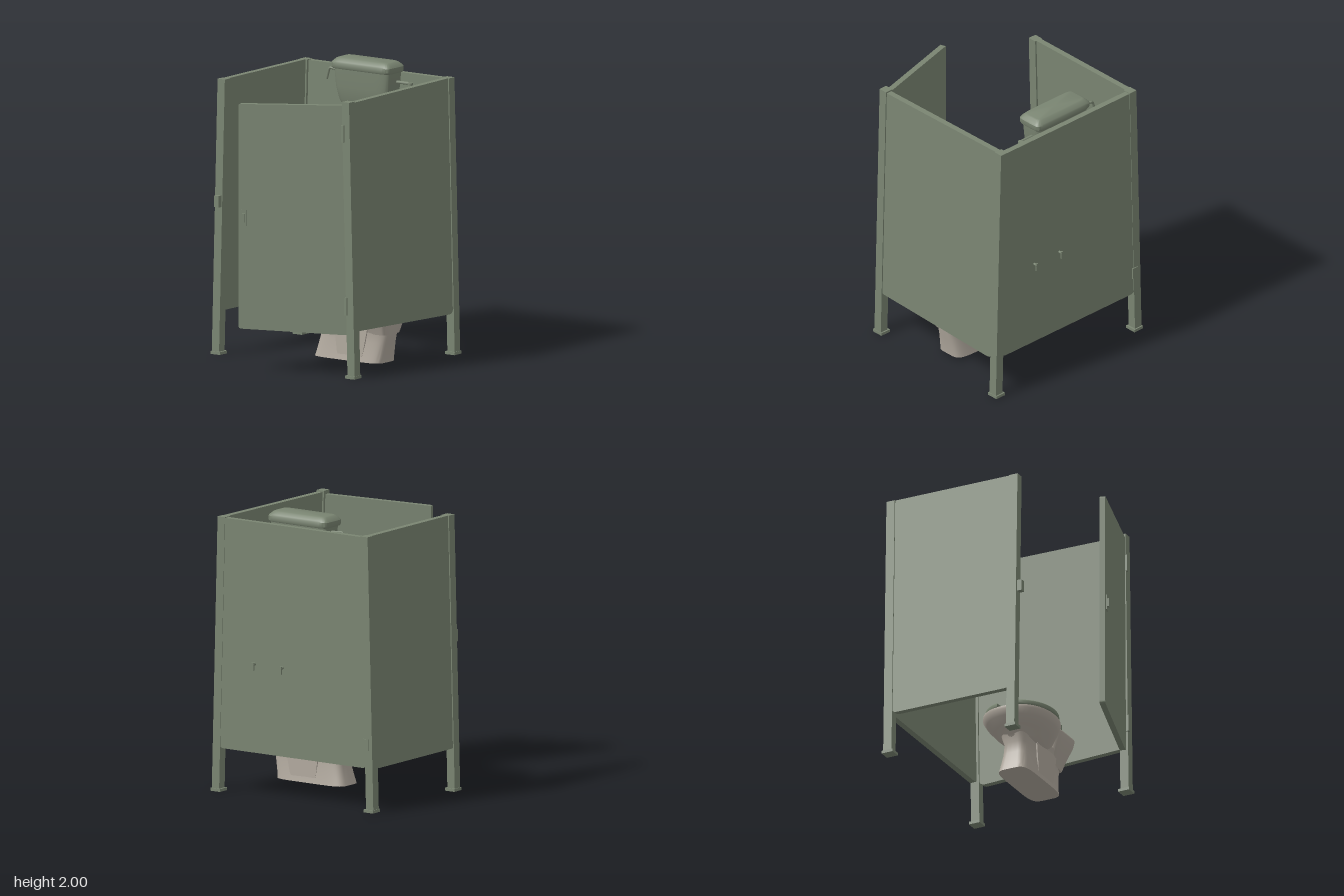
import * as THREE from 'three';
import { toCreasedNormals } from 'three/addons/utils/BufferGeometryUtils.js';

const TOP = 1.92, LEAN = 0.0257;

export function createModel() {
  const green = new THREE.MeshStandardMaterial({ color: 0x7a8572 });
  green.name = 'sage paint';
  const china = new THREE.MeshStandardMaterial({ color: 0xb2aa9f });
  china.name = 'warm grey ceramic';
  const root = new THREE.Group();
  root.name = 'toiletStall';

  const add = (name, geo, mat = green, parent = root) => {
    const m = new THREE.Mesh(geo, mat);
    m.name = name;
    parent.add(m);
    return m;
  };
  const box = (name, w, h, d, x, y, z, mat, parent) => {
    const m = add(name, new THREE.BoxGeometry(w, h, d), mat, parent);
    m.position.set(x, y, z);
    return m;
  };
  const rod = (name, r, pts, mat) => {
    const curve = new THREE.CatmullRomCurve3(pts.map(p => new THREE.Vector3(...p)), false, 'catmullrom', 0.1);
    return add(name, new THREE.TubeGeometry(curve, 24, r, 10), mat);
  };
  const drum = (name, r1, r2, h, x, y, z, mat) => {
    const m = add(name, new THREE.CylinderGeometry(r1, r2, h, 24), mat);
    m.position.set(x, y, z);
    return m;
  };

  // Leans a geometry outwards towards the floor
  const lean = (geo, side) => {
    const p = geo.attributes.position;
    for (let i = 0; i < p.count; i++) p.setX(i, p.getX(i) + side * LEAN * (TOP - p.getY(i)));
    geo.computeVertexNormals();
    return geo;
  };

  // Flat panel from corner points, each with its own corner radius
  const panel = (corners, depth) => {
    const s = new THREE.Shape();
    const n = corners.length;
    corners.forEach(([x, y, r], i) => {
      const c = new THREE.Vector2(x, y);
      const toward = q => c.clone().add(new THREE.Vector2(q[0], q[1]).sub(c).setLength(r));
      const a = toward(corners[(i + n - 1) % n]), b = toward(corners[(i + 1) % n]);
      if (i) s.lineTo(a.x, a.y); else s.moveTo(a.x, a.y);
      s.quadraticCurveTo(x, y, b.x, b.y);
    });
    s.closePath();
    return new THREE.ExtrudeGeometry(s, { depth, bevelEnabled: false, curveSegments: 6 });
  };

  // Skin over horizontal rings: [y, xMin, xMax, halfDepth, squareness]
  const loft = (rings, cz, crease = 0.6, seg = 48) => {
    const pos = [], idx = [];
    const last = rings.length - 1;
    for (const [y, x0, x1, hz, e] of rings) {
      for (let j = 0; j < seg; j++) {
        const t = (j / seg) * Math.PI * 2, c = Math.cos(t), s = Math.sin(t);
        const f = v => Math.sign(v) * Math.pow(Math.abs(v), 2 / e);
        pos.push((x0 + x1) / 2 + f(c) * (x1 - x0) / 2, y, cz + f(s) * hz);
      }
    }
    for (const k of [0, last]) pos.push((rings[k][1] + rings[k][2]) / 2, rings[k][0], cz);
    const cap = (last + 1) * seg;
    for (let j = 0; j < seg; j++) {
      const k = (j + 1) % seg;
      for (let i = 0; i < last; i++) {
        const a = i * seg + j, b = i * seg + k;
        idx.push(a, a + seg, b, b, a + seg, b + seg);
      }
      idx.push(cap, j, k, cap + 1, last * seg + k, last * seg + j);
    }
    const g = new THREE.BufferGeometry();
    g.setAttribute('position', new THREE.Float32BufferAttribute(pos, 3));
    g.setIndex(idx);
    return toCreasedNormals(g, crease);
  };

  // Leaning posts with floor plates
  for (const [side, z] of [[-1, -0.677], [1, -0.677], [-1, 0.27], [1, 0.475]]) {
    const g = new THREE.BoxGeometry(0.062, TOP - 0.01, 0.064);
    g.translate(side * 0.604, (TOP + 0.01) / 2, z);
    add('post', lean(g, side));
    box('postFoot', 0.08, 0.02, 0.084, side * 0.648, 0.01, z);
  }

  // Side walls, drawn in z and y, then turned
  const sideWall = (name, side, corners) => {
    const g = panel(corners, 0.042).rotateY(-Math.PI / 2);
    g.translate(side * 0.606 + 0.021, 0, 0);
    add(name, lean(g, side));
  };
  sideWall('rightWall', 1, [[-0.65, 0.285, 0.05], [0.46, 0.325, 0.03], [0.46, 1.91, 0.01], [-0.65, TOP, 0.01]]);
  sideWall('leftWall', -1, [[-0.65, 0.3, 0.04], [0.26, 0.3, 0.04], [0.26, TOP, 0.01], [-0.65, TOP, 0.01]]);

  // Back wall
  const back = panel([[-0.625, 0.305, 0.04], [0.625, 0.305, 0.04], [0.59, 1.915, 0.01], [-0.59, 1.915, 0.01]], 0.042);
  add('backWall', back.translate(0, 0, -0.705));
  box('wallBracket', 0.05, 0.08, 0.01, -0.62, 0.47, -0.711);

  // Door, swung open about the front right post
  const door = new THREE.Group();
  door.name = 'door';
  door.position.set(0.59, 0, 0.477);
  door.rotation.y = Math.atan2(0.225, 0.73);
  root.add(door);
  const leaf = panel([[-0.775, 0.297, 0.02], [0.015, 0.297, 0.02], [0, 1.895, 0.01], [-0.775, 1.86, 0.01]], 0.04);
  add('doorLeaf', leaf.translate(0, 0, -0.02), green, door);
  box('doorLatchPlate', 0.04, 0.11, 0.008, -0.735, 1.07, 0.023, green, door);
  box('doorLatchKnob', 0.02, 0.06, 0.015, -0.735, 1.07, 0.032, green, door);
  for (const [x, y] of [[0.587, 1.7], [0.61, 0.5]]) box('hinge', 0.022, 0.12, 0.02, x, y, 0.508);
  box('latchKeeper', 0.04, 0.08, 0.035, -0.622, 1.07, 0.318);

  // High cistern and chamfered lid
  add('cistern', loft([
    [1.67, -0.16, 0.16, 0.055, 5], [1.68, -0.195, 0.195, 0.07, 5], [1.71, -0.208, 0.208, 0.08, 5],
    [1.8, -0.228, 0.228, 0.09, 6], [1.93, -0.24, 0.24, 0.095, 6]], -0.57));
  add('cisternLid', loft([
    [1.925, -0.245, 0.245, 0.1, 8], [1.935, -0.25, 0.25, 0.106, 8], [1.965, -0.25, 0.25, 0.106, 8],
    [1.975, -0.243, 0.243, 0.1, 8], [1.995, -0.222, 0.222, 0.08, 8], [2, -0.21, 0.21, 0.07, 8]], -0.568));
  rod('flushLever', 0.009, [[-0.22, 1.89, -0.58], [-0.33, 1.9, -0.585], [-0.342, 1.885, -0.585], [-0.362, 1.82, -0.588]]);
  rod('supplyPipe', 0.011, [[0.21, 1.86, -0.59], [0.335, 1.86, -0.592], [0.345, 1.85, -0.593], [0.345, 1.42, -0.593]]);
  drum('supplyNut', 0.018, 0.018, 0.03, 0.345, 1.85, -0.593);
  drum('flushPipe', 0.022, 0.022, 0.5, 0, 1.43, -0.57);
  drum('flushCollar', 0.05, 0.03, 0.035, 0, 1.655, -0.57);
  for (const x of [-0.1, 0.1]) drum('cisternBolt', 0.015, 0.015, 0.05, x, 1.65, -0.57);

  // Paper roll held by two arms bolted through the back wall
  drum('paperRoll', 0.085, 0.085, 0.18, 0.203, 0.92, -0.555, china).rotation.z = Math.PI / 2;
  drum('rollSpindle', 0.012, 0.012, 0.25, 0.203, 0.92, -0.565).rotation.z = Math.PI / 2;
  for (const x of [0.085, 0.32]) {
    rod('rollArm', 0.009, [[x, 0.925, -0.735], [x, 0.925, -0.65], [x, 0.92, -0.56]]);
    box('armBolt', 0.015, 0.055, 0.012, x, 0.91, -0.73);
  }

  // Ceramic pedestal, rear shelf and bowl with a hollow basin
  const CZ = -0.072;
  add('pedestal', loft([
    [0.02, -0.03, 0.54, 0.118, 5], [0.06, -0.018, 0.545, 0.112, 5], [0.16, 0.008, 0.565, 0.102, 4.5],
    [0.24, 0.012, 0.585, 0.1, 4], [0.32, -0.02, 0.598, 0.12, 4]], CZ, 0.9), china);
  add('rearShelf', loft([
    [0.22, 0.42, 0.578, 0.095, 8], [0.3, 0.4, 0.595, 0.125, 8], [0.39, 0.37, 0.61, 0.17, 9],
    [0.44, 0.36, 0.612, 0.182, 10], [0.45, 0.365, 0.608, 0.178, 10]], CZ), china);
  add('bowl', loft([
    [0.25, 0.01, 0.4, 0.09, 2.4], [0.29, -0.01, 0.42, 0.13, 2.3], [0.34, -0.07, 0.43, 0.185, 2.2],
    [0.39, -0.115, 0.435, 0.228, 2.2], [0.43, -0.138, 0.44, 0.252, 2.2], [0.45, -0.136, 0.438, 0.25, 2.2],
    [0.455, -0.125, 0.43, 0.24, 2.2], [0.45, -0.035, 0.31, 0.145, 2.1], [0.4, -0.02, 0.3, 0.135, 2.1],
    [0.33, 0.05, 0.27, 0.085, 2], [0.3, 0.1, 0.23, 0.05, 2]], CZ, 0.9), china);

  // Shallow side mouldings on the pedestal
  const mould = [[0.19, 0.05, 0.03], [0.4, 0.05, 0.03], [0.45, 0.28, 0.02], [0.16, 0.28, 0.02]];
  for (const s of [-1, 1]) add('pedestalMoulding', panel(mould, 0.01).translate(0, 0, CZ - 0.005 + s * 0.107), china);

  // Open-front seat
  const seat = new THREE.Shape();
  const N = 40;
  for (let i = 0; i <= N; i++) {
    const t = -Math.PI + 0.27 + (i / N) * (2 * Math.PI - 0.54);
    const x = Math.min(0.155 + Math.cos(t) * 0.265, 0.395), y = Math.sin(t) * 0.24;
    if (i) seat.lineTo(x, y); else seat.moveTo(x, y);
  }
  for (let i = N; i >= 0; i--) {
    const t = -Math.PI + 0.42 + (i / N) * (2 * Math.PI - 0.84);
    seat.lineTo(0.14 + Math.cos(t) * 0.162, Math.sin(t) * 0.135);
  }
  seat.closePath();
  const seatGeo = new THREE.ExtrudeGeometry(seat, {
    depth: 0.018, bevelThickness: 0.009, bevelSize: 0.009, bevelSegments: 3 });
  seatGeo.rotateX(Math.PI / 2).translate(0, 0.487, CZ);
  add('seat', toCreasedNormals(seatGeo, 0.7));

  // Seat hinge
  for (const s of [-1, 1]) box('seatHinge', 0.03, 0.04, 0.055, 0.4, 0.472, CZ + s * 0.145);
  drum('seatHingeRod', 0.01, 0.01, 0.3, 0.405, 0.475, CZ).rotation.x = Math.PI / 2;

  return root;
}
